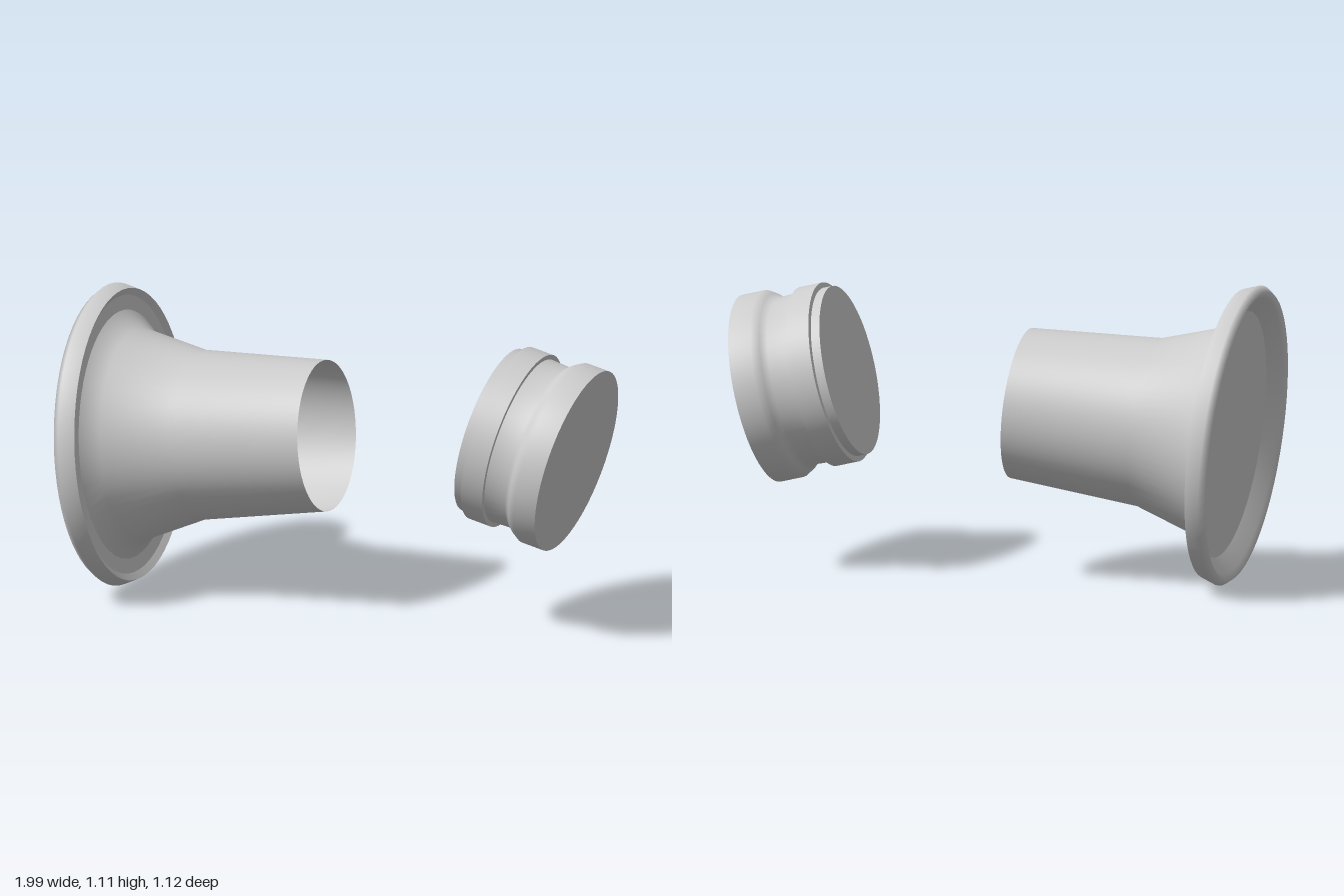
import * as THREE from 'three';

const grey = new THREE.MeshStandardMaterial({ color: 0xcccccc, side: THREE.DoubleSide });
grey.name = 'light grey';

// Turned surface from [radius, distance along axis] points, smooth within one piece
function turned(name, points) {
  const profile = points.map(([r, t]) => new THREE.Vector2(r, t));
  const mesh = new THREE.Mesh(new THREE.LatheGeometry(profile, 64), grey);
  mesh.name = name;
  return mesh;
}

// Group whose turning axis points to +x, raised by the given angle
function tilted(name, x, y, raise, parts) {
  const group = new THREE.Group();
  group.name = name;
  group.position.set(x, y, 0);
  group.rotation.z = raise - Math.PI / 2;
  for (const [part, points] of parts) group.add(turned(part, points));
  return group;
}

export function createModel() {
  const model = new THREE.Group();
  model.name = 'flaredSleeveAndPlug';

  // Open flared sleeve with a rounded rim and a closed, recessed back
  model.add(tilted('sleeve', -0.947, 0.558, 0.098, [
    ['backDisc', [[0, 0.06], [0.46, 0.06]]],
    ['rim', [[0.46, 0.06], [0.515, 0.014], [0.54, 0], [0.56, 0.025], [0.54, 0.082]]],
    ['rimStep', [[0.54, 0.082], [0.515, 0.066]]],
    ['rimLedge', [[0.515, 0.066], [0.46, 0.066]]],
    ['flaredBody', [[0.46, 0.066], [0.394, 0.123], [0.314, 0.37], [0.28, 0.865]]],
  ]));

  // Stepped plug with a raised band, a neck and a bulging head
  model.add(tilted('plug', 0.5725, 0.735, -0.245, [
    ['innerFace', [[0, 0], [0.317, 0]]],
    ['tip', [[0.317, 0], [0.317, 0.034]]],
    ['bandInnerStep', [[0.317, 0.034], [0.337, 0.036]]],
    ['band', [[0.337, 0.036], [0.337, 0.124]]],
    ['bandOuterStep', [[0.337, 0.124], [0.319, 0.124]]],
    ['neckAndHead', [[0.319, 0.124], [0.315, 0.207], [0.335, 0.23], [0.352, 0.259], [0.352, 0.347]]],
    ['outerFace', [[0.352, 0.347], [0, 0.347]]],
  ]));

  return model;
}
